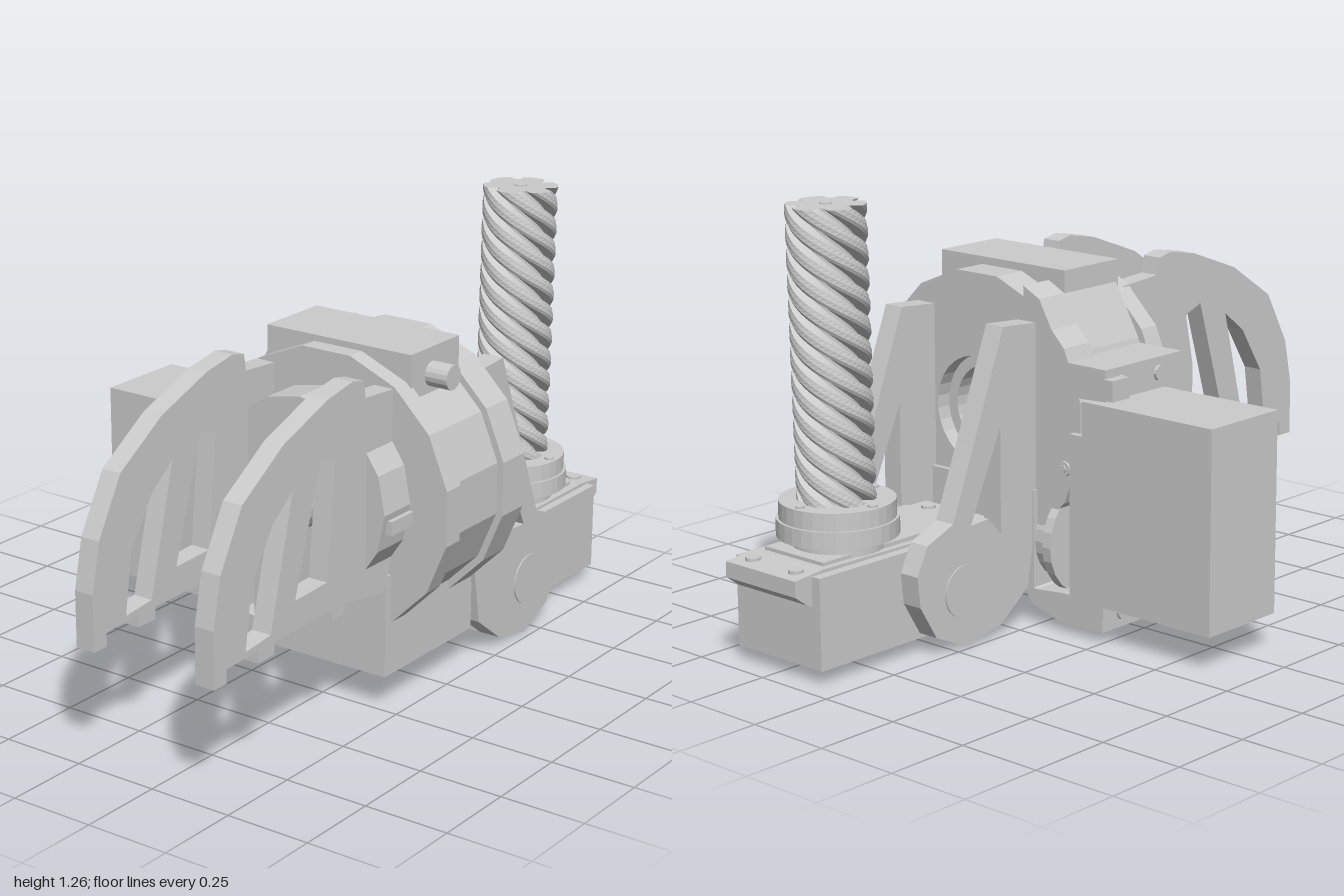
import * as THREE from 'three';

const mat = new THREE.MeshStandardMaterial({ color: 0xcccccc, flatShading: true, side: THREE.DoubleSide });
const CY = 0.6, CZ = 0.24; // axis of the main drum

export function createModel() {
  const root = new THREE.Group();

  const add = (name, geo, x = 0, y = 0, z = 0) => {
    const m = new THREE.Mesh(geo, mat);
    m.name = name;
    m.position.set(x, y, z);
    root.add(m);
    return m;
  };
  // box given by its extents
  const box = (name, x0, x1, y0, y1, z0, z1) =>
    add(name, new THREE.BoxGeometry(x1 - x0, y1 - y0, z1 - z0), (x0 + x1) / 2, (y0 + y1) / 2, (z0 + z1) / 2);
  const poly = (pts) => pts.map(([a, b]) => new THREE.Vector2(a, b));
  const circle = (r, n, cx = 0, cy = 0) => Array.from({ length: n }, (_, i) => {
    const a = (i + 0.5) / n * Math.PI * 2;
    return [cx + r * Math.cos(a), cy + r * Math.sin(a)];
  });
  const extrude = (pts, holes, depth) => {
    const s = new THREE.Shape(poly(pts));
    holes.forEach((h) => s.holes.push(new THREE.Path(poly(h))));
    return new THREE.ExtrudeGeometry(s, { depth, bevelEnabled: false });
  };
  // outline in (x, y), thickness along z
  const plateZ = (name, pts, holes, z0, z1) => add(name, extrude(pts, holes, z1 - z0), 0, 0, z0);
  // outline in (z, y), thickness along x
  const plateX = (name, pts, holes, x0, x1) =>
    add(name, extrude(pts, holes, x1 - x0).rotateY(-Math.PI / 2), x1, 0, 0);
  const cylX = (name, r, x0, x1, y, z, n = 24) =>
    add(name, new THREE.CylinderGeometry(r, r, x1 - x0, n).rotateZ(Math.PI / 2), (x0 + x1) / 2, y, z);
  const cylZ = (name, r, z0, z1, x, y, n = 24) =>
    add(name, new THREE.CylinderGeometry(r, r, z1 - z0, n).rotateX(Math.PI / 2), x, y, (z0 + z1) / 2);
  const cylY = (name, r, y0, y1, x, z, n = 32) =>
    add(name, new THREE.CylinderGeometry(r, r, y1 - y0, n), x, (y0 + y1) / 2, z);

  // pair of curved fins with notched lower edge and two windows
  const fin = [[-1, 0.34], [-0.95, 0.34], [-0.95, 0.38], [-0.82, 0.385], [-0.82, 0.35], [-0.75, 0.35], [-0.75, 0.385],
    [-0.5, 0.39], [-0.5, 0.36], [-0.44, 0.36], [-0.44, 0.39], [-0.26, 0.36], [-0.2, 0.5], [-0.2, 0.93],
    [-0.35, 0.94], [-0.36, 0.99], [-0.41, 1], [-0.52, 0.98], [-0.71, 0.91], [-0.88, 0.8], [-0.97, 0.64], [-1, 0.5]];
  const finHoles = [
    [[-0.87, 0.4], [-0.845, 0.57], [-0.755, 0.71], [-0.67, 0.775], [-0.765, 0.41]],
    [[-0.66, 0.47], [-0.55, 0.825], [-0.485, 0.8], [-0.52, 0.475]]];
  for (const z of [0.005, 0.4]) plateZ('fin', fin, finHoles, z, z + 0.06);

  // drum: back flange, middle casing, front flange with a round opening
  const bore = circle(0.16, 28, CZ, 0.59);
  plateX('backFlange', circle(0.405, 16, CZ, CY), [], -0.225, -0.16);
  plateX('drumCasing', circle(0.38, 16, CZ, CY), [bore], -0.16, 0.06);
  plateX('frontFlange', circle(0.4, 16, CZ, CY), [bore], 0.06, 0.165);
  plateX('bearingRing', circle(0.159, 28, CZ, 0.59), [circle(0.125, 28, CZ, 0.59)], -0.03, 0.12);
  cylX('bearingHub', 0.055, -0.16, -0.02, 0.59, CZ);
  cylX('backHub', 0.28, -0.345, -0.225, 0.62, CZ, 16);
  cylX('backAxle', 0.09, -0.425, -0.345, 0.62, CZ, 20);
  for (const [y, z] of [[0.6, 0.6], [0.48, -0.095]]) {
    cylX('screwHead', 0.022, 0.16, 0.172, y, z, 12);
    cylX('screwSocket', 0.012, 0.165, 0.176, y, z, 6);
  }
  box('finLug', -0.325, -0.225, 0.56, 0.6, 0.49, 0.53);

  // upper housing with its pin
  box('upperHousing', -0.17, 0.06, 0.82, 1.015, 0, 0.48);
  cylZ('housingPin', 0.035, 0.46, 0.55, -0.07, 0.94, 16);

  // lower housing between the arms
  box('lowerHousing', -0.25, 0.18, 0.105, 0.4, 0.01, 0.46);

  // rear bracket
  plateX('rearBracket', [[0.06, 0.98], [0, 0.95], [-0.085, 0.8], [-0.09, 0.785], [-0.245, 0.785], [-0.245, 0.695],
    [-0.145, 0.69], [-0.145, 0.44], [-0.06, 0.43], [-0.01, 0.37], [0, 0.25], [0.06, 0.25]], [], -0.16, 0.165);
  plateX('lowerBracket', [[0.06, 0.13], [0.02, 0.065], [-0.1, 0.03], [-0.25, 0.035], [-0.25, 0.12], [-0.1, 0.12],
    [0, 0.11]], [], -0.14, 0.18);
  for (const x of [-0.06, 0.1]) {
    cylZ('bracketScrew', 0.022, -0.255, -0.24, x, 0.74, 12);
    cylZ('bracketScrew', 0.022, -0.26, -0.245, x, 0.08, 12);
  }
  box('bracketTab', 0.1, 0.17, 0.7, 0.76, -0.275, -0.24);

  // rear servo and its stepped output disc
  box('rearServo', -0.1, 0.185, 0.11, 0.69, -0.635, -0.175);
  box('rearServoNeck', -0.1, 0.185, 0.12, 0.59, -0.175, -0.13);
  cylZ('rearServoShaft', 0.08, -0.13, -0.06, 0.04, 0.25);
  cylZ('rearServoDisc', 0.165, -0.075, -0.045, 0.04, 0.25);
  cylZ('rearServoHorn', 0.135, -0.045, 0.02, 0.04, 0.25);

  // pair of arms carrying the front servo
  const arm = [[0.15, 0.88], [0.295, 0.89], [0.42, 0.57], [0.5, 0.37], [0.6, 0.33], [0.64, 0.25], [0.63, 0.16],
    [0.57, 0.06], [0.45, 0.005], [0.31, 0.035], [0.2, 0.12], [0.17, 0.3]];
  const armHoles = [[[0.31, 0.61], [0.31, 0.3], [0.36, 0.355], [0.43, 0.35]]];
  for (const z of [0.015, 0.41]) {
    plateZ('arm', arm, armHoles, z, z + 0.065);
    cylZ('armPivot', 0.075, z - 0.004, z + 0.069, 0.46, 0.17);
  }

  // front servo with sloped mounting ears
  box('frontServo', 0.29, 0.94, 0.045, 0.305, 0.08, 0.41);
  plateZ('servoEars', [[0.235, 0.31], [0.235, 0.275], [0.29, 0.25], [0.93, 0.215], [0.96, 0.23], [1, 0.26],
    [1, 0.305], [0.9, 0.315]], [], 0.11, 0.385);
  for (const x of [0.28, 0.95]) for (const z of [0.16, 0.33]) cylY('earScrew', 0.022, 0.3, 0.318, x, z, 12);
  box('servoLid', 0.36, 0.88, 0.3, 0.325, 0.13, 0.36);

  // output disc stack
  cylY('outputBase', 0.13, 0.315, 0.36, 0.715, 0.245);
  cylY('outputDisc', 0.17, 0.35, 0.4, 0.715, 0.245);
  cylY('outputRim', 0.162, 0.4, 0.45, 0.715, 0.245);
  for (let i = 0; i < 4; i++) {
    const a = i * Math.PI / 2;
    cylY('discScrew', 0.014, 0.44, 0.456, 0.715 + 0.138 * Math.cos(a), 0.245 + 0.138 * Math.sin(a), 10);
  }

  // twisted six-lobed screw, leaning slightly
  const screw = add('twistedScrew', twistedRod(0.11, 0.078, 0.825, 6, 2.05), 0.718, 0.44, 0.245);
  screw.rotation.z = -0.02;
  cylY('screwTip', 0.018, 1.25, 1.268, 0.734, 0.245, 12);
  return root;
}

// rod swept upward from a notched cross-section that turns with height
function twistedRod(rOut, rIn, h, lobes, turns) {
  const section = [];
  for (let i = 0; i < lobes; i++) {
    for (const [f, r] of [[0, rIn], [0.14, rIn], [0.26, rOut * 0.97], [0.5, rOut], [0.74, rOut], [0.88, rOut * 0.96]]) {
      section.push([(i + f) / lobes * Math.PI * 2, r]);
    }
  }
  const n = section.length, rows = 96, pos = [], idx = [];
  for (let j = 0; j <= rows; j++) {
    const t = j / rows;
    for (const [a, r] of section) {
      const b = a + t * turns * Math.PI * 2;
      pos.push(r * Math.cos(b), t * h, r * Math.sin(b));
    }
  }
  for (let j = 0; j < rows; j++) {
    for (let i = 0; i < n; i++) {
      const a = j * n + i, b = j * n + (i + 1) % n;
      idx.push(a, a + n, b, b, a + n, b + n);
    }
  }
  // end caps
  const c = pos.length / 3;
  pos.push(0, 0, 0, 0, h, 0);
  for (let i = 0; i < n; i++) {
    const k = (i + 1) % n;
    idx.push(c, i, k, c + 1, rows * n + k, rows * n + i);
  }
  const g = new THREE.BufferGeometry();
  g.setAttribute('position', new THREE.Float32BufferAttribute(pos, 3));
  g.setIndex(idx);
  g.computeVertexNormals();
  return g;
}
